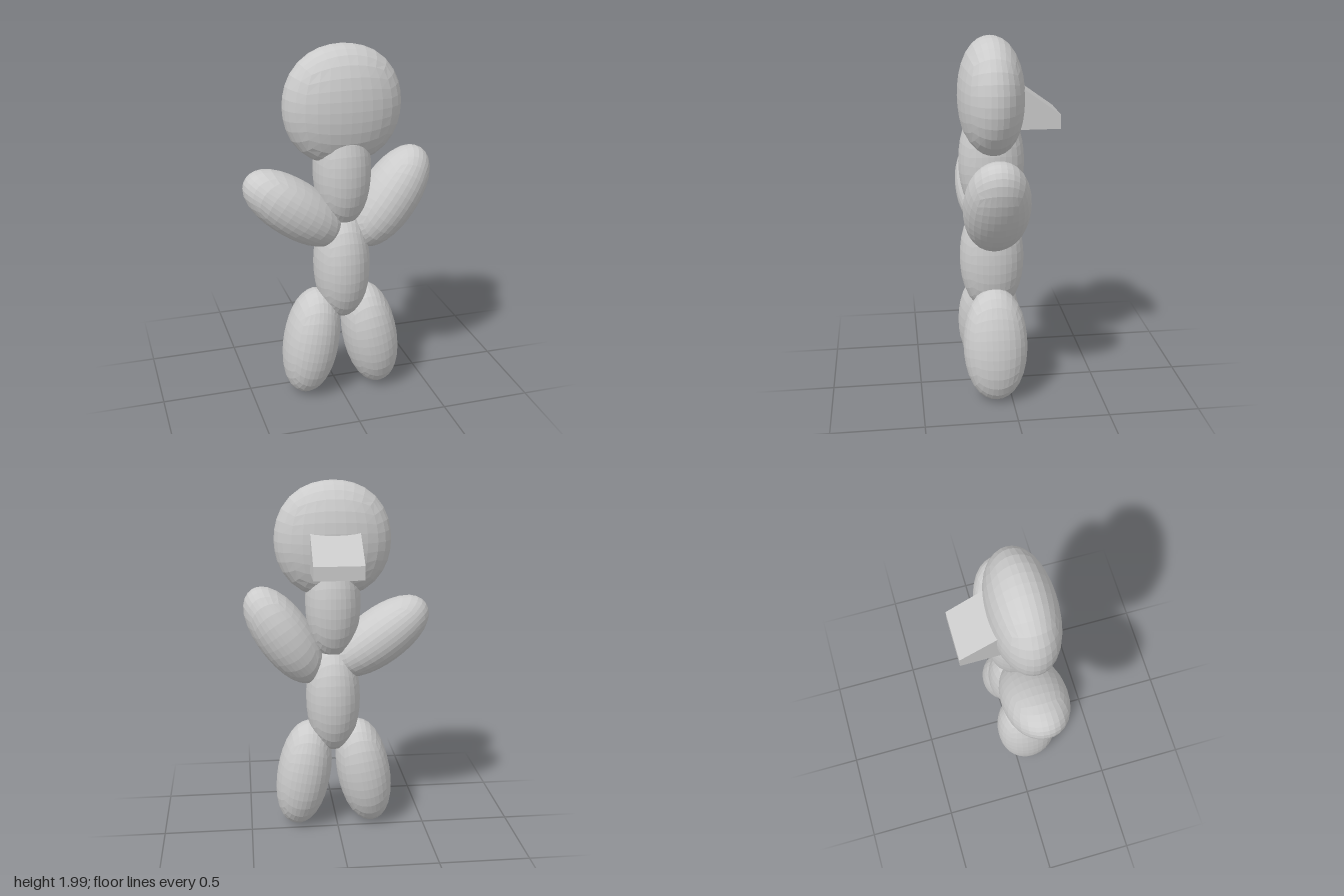
import * as THREE from 'three';

const material = new THREE.MeshStandardMaterial({ color: 0xcccccc, flatShading: true });
const DEPTH = 0.178; // shared half depth of all body parts
const MID_Z = 0.087;

// Box rounded into a slightly squarish ball, then scaled to its half sizes
function roundedBlob(rx, ry, rz) {
  const geometry = new THREE.BoxGeometry(2, 2, 2, 8, 8, 8);
  const pos = geometry.attributes.position;
  for (let i = 0; i < pos.count; i++) {
    const a = pos.getX(i) ** 2, b = pos.getY(i) ** 2, c = pos.getZ(i) ** 2;
    const x = pos.getX(i) * Math.sqrt(1 - b / 2 - c / 2 + b * c / 3);
    const y = pos.getY(i) * Math.sqrt(1 - a / 2 - c / 2 + a * c / 3);
    const z = pos.getZ(i) * Math.sqrt(1 - a / 2 - b / 2 + a * b / 3);
    const bulge = 1 + 0.1 * (x * x * y * y + y * y * z * z + z * z * x * x);
    pos.setXYZ(i, x * bulge * rx, y * bulge * ry, z * bulge * rz);
  }
  geometry.computeVertexNormals();
  return geometry;
}

export function createModel() {
  const model = new THREE.Group();
  model.name = 'figure';

  const add = (name, geometry, x, y, z, tilt = 0) => {
    const mesh = new THREE.Mesh(geometry, material);
    mesh.name = name;
    mesh.position.set(x, y, z);
    mesh.rotation.z = THREE.MathUtils.degToRad(tilt);
    model.add(mesh);
  };

  // Head
  add('head', roundedBlob(0.32, 0.32, DEPTH), 0.02, 1.68, MID_Z);

  // Torso and limbs share one elongated shape
  const segment = roundedBlob(0.153, 0.317, DEPTH);
  add('upperTorso', segment, 0.02, 1.33, MID_Z);
  add('lowerTorso', segment, 0.02, 0.78, MID_Z);
  add('rightArm', segment, -0.245, 1.13, MID_Z, 54);
  add('leftArm', segment, 0.29, 1.147, MID_Z, -34.5);
  add('rightLeg', segment, -0.158, 0.322, MID_Z, -10);
  add('leftLeg', segment, 0.19, 0.322, MID_Z, 10);

  // Wedge sticking out behind the head, sloping down to a blunt end
  const profile = new THREE.Shape([
    [0, 1.525], [0.268, 1.525], [0.268, 1.6], [0.085, 1.73], [0, 1.79],
  ].map(([back, y]) => new THREE.Vector2(back, y)));
  const wedge = new THREE.ExtrudeGeometry(profile, { depth: 0.268, bevelEnabled: false });
  wedge.rotateY(Math.PI / 2);
  add('backWedge', wedge, -0.114, 0, 0);

  return model;
}
